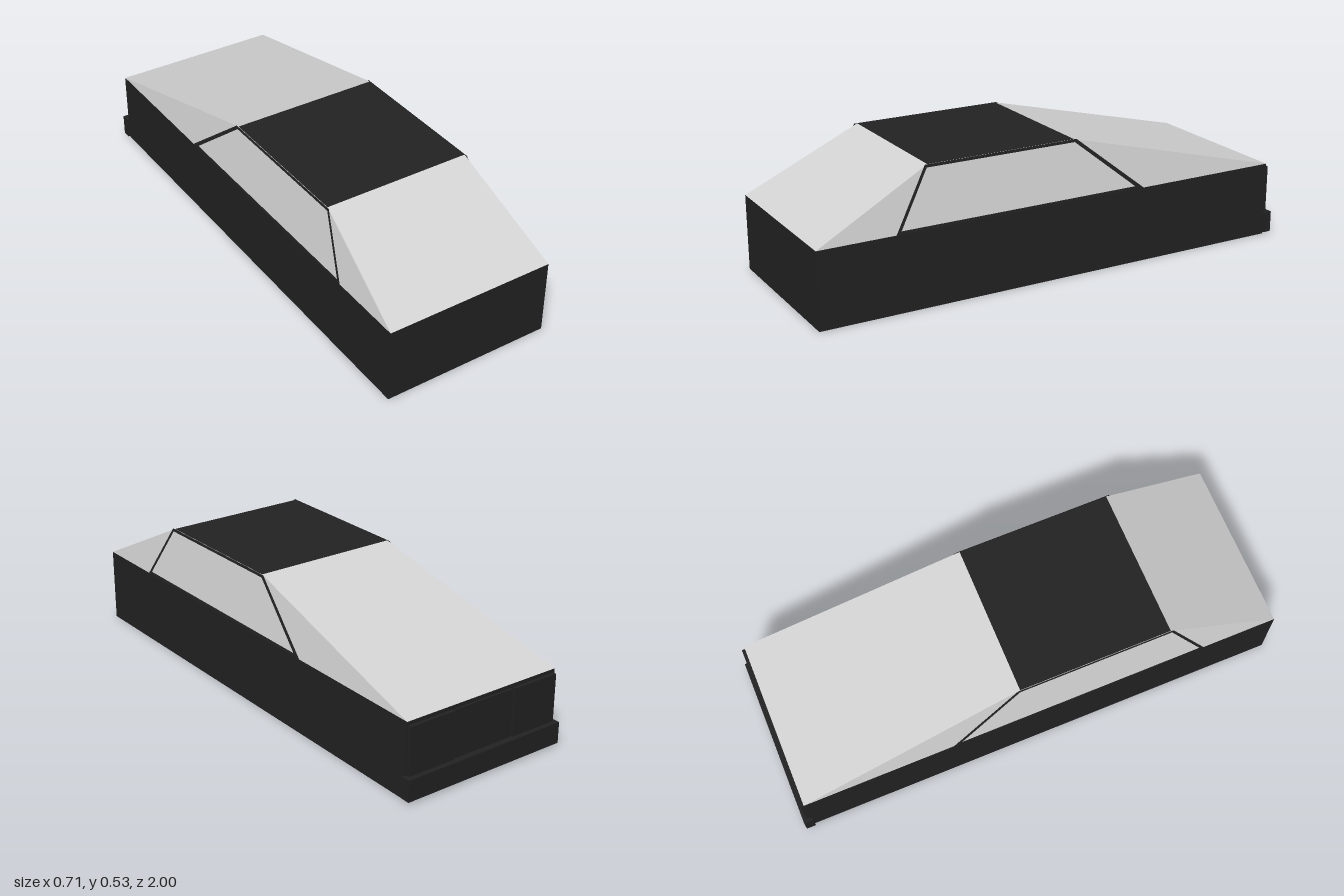
import * as THREE from 'three';

const black = new THREE.MeshStandardMaterial({ color: 0x222222 });
black.name = 'blackPaint';
const glass = new THREE.MeshStandardMaterial({ color: 0xd4d4d4 });
glass.name = 'paleGlass';
const trim = new THREE.MeshStandardMaterial({ color: 0x222222, side: THREE.DoubleSide });
trim.name = 'blackTrim';

// Main dimensions
const BELT = 0.302, ROOF = 0.531, HALF = 0.345, ROOF_HALF = 0.302;
const FRONT = 1, REAR = -0.97, ROOF_FRONT = 0.545, ROOF_REAR = -0.07;

export function createModel() {
  const model = new THREE.Group();
  model.name = 'car';

  const add = (name, geometry, material) => {
    const mesh = new THREE.Mesh(geometry, material);
    mesh.name = name;
    model.add(mesh);
    return mesh;
  };
  const box = (name, w, h, d, x, y, z) =>
    add(name, new THREE.BoxGeometry(w, h, d), black).position.set(x, y, z);

  // Flat panel from four corners, counter-clockwise seen from outside
  const quad = (name, [a, b, c, d], material) => {
    const g = new THREE.BufferGeometry();
    g.setAttribute('position', new THREE.Float32BufferAttribute([a, b, c, a, c, d].flat(), 3));
    g.computeVertexNormals();
    return add(name, g, material);
  };

  // Lower body
  box('body', HALF * 2, BELT, FRONT - REAR, 0, BELT / 2, (FRONT + REAR) / 2);

  // Cabin: sloping windscreen, rear window and roof
  const low = (s, z) => [s * HALF, BELT, z];
  const high = (s, z) => [s * ROOF_HALF, ROOF, z];
  quad('windscreen', [low(-1, FRONT), low(1, FRONT), high(1, ROOF_FRONT), high(-1, ROOF_FRONT)], glass);
  quad('rearWindow', [low(1, REAR), low(-1, REAR), high(-1, ROOF_REAR), high(1, ROOF_REAR)], glass);
  quad('roof', [high(-1, ROOF_FRONT), high(1, ROOF_FRONT), high(1, ROOF_REAR), high(-1, ROOF_REAR)], black);

  for (const s of [1, -1]) {
    const side = s > 0 ? 'left' : 'right';
    const corners = [low(s, FRONT), low(s, REAR), high(s, ROOF_REAR), high(s, ROOF_FRONT)];
    quad(side + 'SideGlass', s > 0 ? corners : corners.reverse(), glass);

    // Thin trim lying just outside the leaning side glass; points are [z, y]
    const strip = (name, points) => quad(side + name, points.map(([z, y]) => {
      const t = (y - BELT) / (ROOF - BELT);
      return [s * (HALF + (ROOF_HALF - HALF) * t + 0.002), y, z];
    }), trim);
    strip('FrontPillar', [[0.694, BELT], [0.68, BELT], [0.543, ROOF], [0.556, ROOF]]);
    strip('RearPillar', [[-0.34, BELT], [-0.365, BELT], [-0.08, ROOF], [-0.058, ROOF]]);
    strip('RoofRail', [[0.55, 0.52], [-0.075, 0.52], [-0.07, ROOF], [0.545, ROOF]]);
    strip('WindowSill', [[0.69, BELT], [-0.36, BELT], [-0.34, 0.314], [0.68, 0.314]]);

    // Tail lamps
    box(side + 'TailLamp', 0.2, 0.19, 0.015, s * 0.24, 0.192, -0.976);
  }

  // Back panel and bumper
  box('numberPlatePanel', 0.266, 0.19, 0.01, 0, 0.192, -0.974);
  box('rearBumper', 0.712, 0.085, 0.037, 0, 0.0515, -0.9815);

  return model;
}
